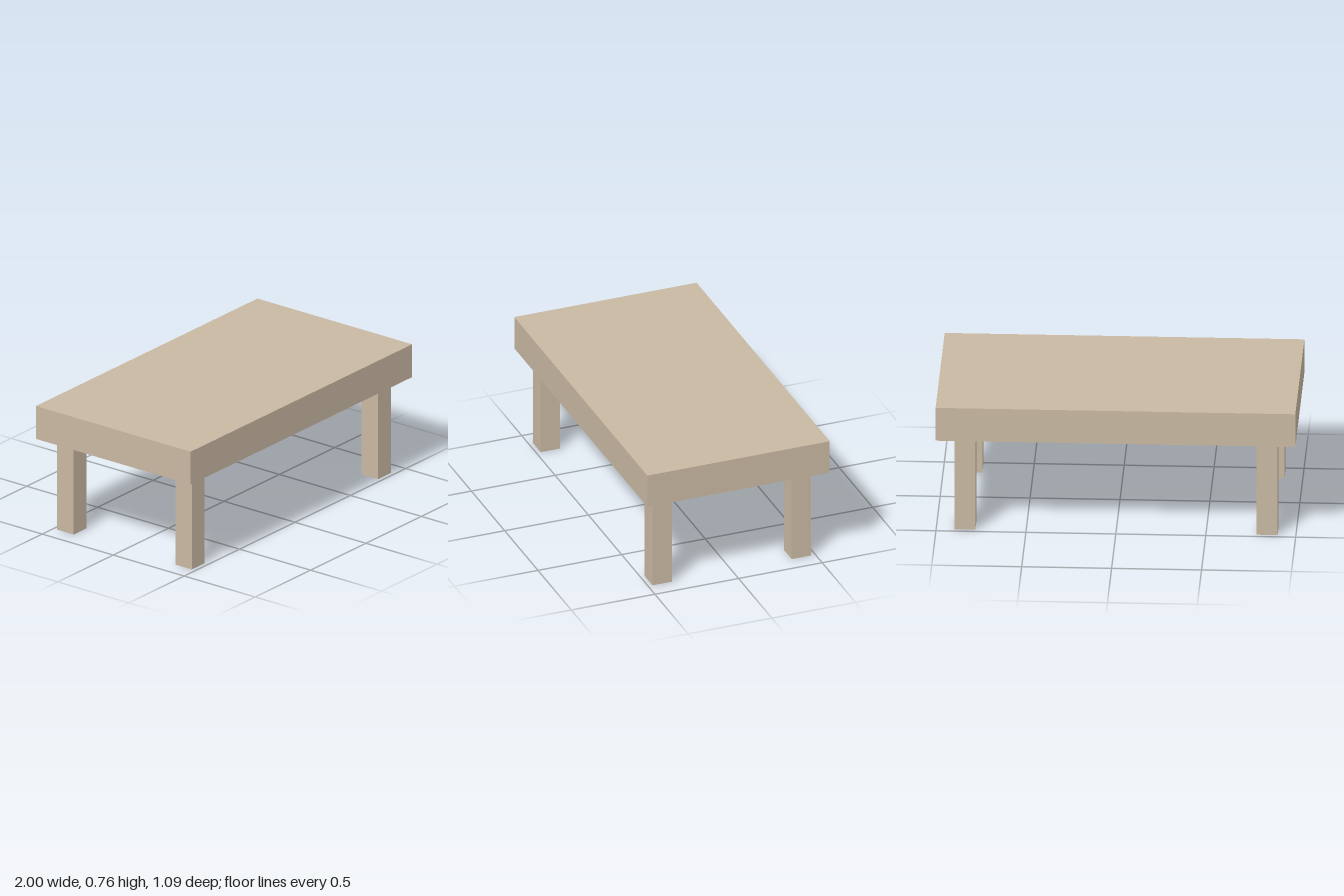
import * as THREE from 'three';

export function createModel() {
  const table = new THREE.Group();
  table.name = 'table';
  const wood = new THREE.MeshStandardMaterial({ color: 0xc8b8a2 });

  const topThickness = 0.197;
  const legHeight = 0.56;
  const legWidth = 0.116;

  // Thick slab top
  const top = new THREE.Mesh(new THREE.BoxGeometry(2, topThickness, 1.09), wood);
  top.name = 'tableTop';
  top.position.y = legHeight + topThickness / 2;
  table.add(top);

  // Four square legs, inset from the corners
  const legGeometry = new THREE.BoxGeometry(legWidth, legHeight, legWidth);
  for (const [side, sx] of [['Left', 1], ['Right', -1]]) {
    for (const [end, sz] of [['front', 1], ['back', -1]]) {
      const leg = new THREE.Mesh(legGeometry, wood);
      leg.name = `${end}${side}Leg`;
      leg.position.set(sx * 0.84, legHeight / 2, sz * 0.416);
      table.add(leg);
    }
  }

  return table;
}
